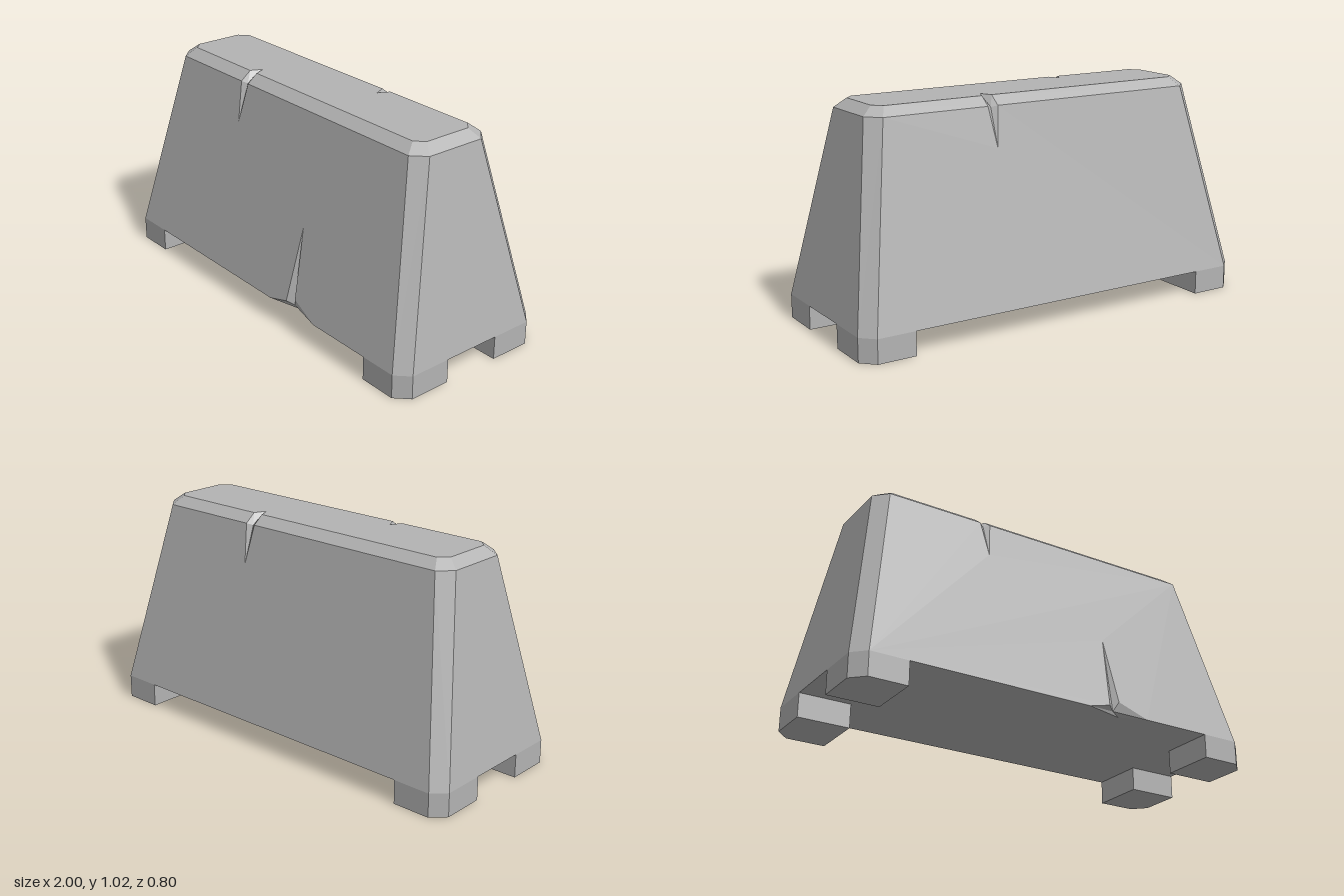
import * as THREE from 'three';

const concrete = new THREE.MeshStandardMaterial({ color: 0xb3b3b3 });
concrete.name = 'concrete grey';

const BASE = 0.11, SHOULDER = 0.98, TOP = 1.02;
// Depth of the sloping long side at height y
const sideZ = (y) => 0.4 - (y - BASE) * 0.195 / (SHOULDER - BASE);

// Flat polygons, triangulated and wound to face the given outward direction
class Faces {
  constructor() { this.pos = []; }
  add(out, ...pts) {
    const o = new THREE.Vector3(...out);
    const v = pts.map((p) => new THREE.Vector3(...p));
    const n = new THREE.Vector3();
    v.forEach((a, i) => n.add(a.clone().cross(v[(i + 1) % v.length])));
    const m = n.toArray().map(Math.abs);
    const drop = m.indexOf(Math.max(...m));
    const flat = pts.map((p) => new THREE.Vector2(...p.filter((_, i) => i !== drop)));
    for (const [a, b, c] of THREE.ShapeUtils.triangulateShape(flat, [])) {
      const t = v[b].clone().sub(v[a]).cross(v[c].clone().sub(v[a]));
      const order = t.dot(o) < 0 ? [a, c, b] : [a, b, c];
      order.forEach((i) => this.pos.push(...pts[i]));
    }
  }
  mesh(name) {
    const g = new THREE.BufferGeometry();
    g.setAttribute('position', new THREE.Float32BufferAttribute(this.pos, 3));
    g.computeVertexNormals();
    const mesh = new THREE.Mesh(g, concrete);
    mesh.name = name;
    return mesh;
  }
}

export function createModel() {
  const group = new THREE.Group();
  group.name = 'barrier';
  const body = new Faces(), dents = new Faces(), crack = new Faces();

  // Crack at the foot of the front side
  const c0 = [0.12, BASE, 0.4], c1 = [0.23, 0.14, sideZ(0.14)], c2 = [0.258, 0.49, sideZ(0.49)];
  const c3 = [0.285, 0.168, sideZ(0.168)], c4 = [0.43, BASE, 0.4];
  const inner = [0.262, 0.125, 0.37], under = [0.3, BASE, 0.355];
  crack.add([0, -1, 1], c0, c1, inner);
  crack.add([0, -1, 1], c0, inner, under);
  crack.add([1, 0, 1], c1, c2, inner);
  crack.add([-1, 0, 1], c2, c3, inner);
  crack.add([0, 0, 1], c3, c4, inner);
  crack.add([0, 0, 1], inner, c4, under);

  // Long sides, each with a dent through its upper edge
  for (const s of [1, -1]) {
    const d = s > 0 ? -0.305 : 0.26, w = 0.025;
    const P = (x, y, z) => [x, y, z * s];
    const tip = P(d, 0.8, sideZ(0.8)), deep = P(d, 0.972, 0.187), notch = P(d, TOP, 0.1);
    const low = (x) => P(x, SHOULDER, 0.205), high = (x) => P(x, TOP, 0.155);
    const bottom = s > 0 ? [c0, c1, c2, c3, c4] : [];
    body.add([0, 0, s], P(-0.94, BASE, 0.4), ...bottom, P(0.94, BASE, 0.4),
      low(0.79), low(d + w), tip, low(d - w), low(-0.79));
    for (const k of [1, -1]) {
      body.add([0, 1, s], low(0.79 * k), low(d + w * k), high(d + w * k), high(0.76 * k));
      dents.add([-k, 0, s], tip, low(d + w * k), deep);
      dents.add([-k, 0.5, s], low(d + w * k), high(d + w * k), deep);
      dents.add([-k, 0.5, s], high(d + w * k), notch, deep);
    }
  }

  // Short ends and chamfered corners
  for (const k of [1, -1]) {
    body.add([k, 0, 0], [k, BASE, 0.34], [k, BASE, -0.34],
      [0.85 * k, SHOULDER, -0.145], [0.85 * k, SHOULDER, 0.145]);
    body.add([k, 1, 0], [0.85 * k, SHOULDER, 0.145], [0.85 * k, SHOULDER, -0.145],
      [0.8 * k, TOP, -0.115], [0.8 * k, TOP, 0.115]);
    for (const s of [1, -1]) {
      body.add([k, 0, s], [k, BASE, 0.34 * s], [0.94 * k, BASE, 0.4 * s],
        [0.79 * k, SHOULDER, 0.205 * s], [0.85 * k, SHOULDER, 0.145 * s]);
      body.add([k, 1, s], [0.85 * k, SHOULDER, 0.145 * s], [0.79 * k, SHOULDER, 0.205 * s],
        [0.76 * k, TOP, 0.155 * s], [0.8 * k, TOP, 0.115 * s]);
    }
  }

  // Top with its two notches, and the underside
  body.add([0, 1, 0], [-0.8, TOP, 0.115], [-0.76, TOP, 0.155], [-0.33, TOP, 0.155],
    [-0.305, TOP, 0.1], [-0.28, TOP, 0.155], [0.76, TOP, 0.155], [0.8, TOP, 0.115],
    [0.8, TOP, -0.115], [0.76, TOP, -0.155], [0.285, TOP, -0.155], [0.26, TOP, -0.1],
    [0.235, TOP, -0.155], [-0.76, TOP, -0.155], [-0.8, TOP, -0.115]);
  body.add([0, -1, 0], [-1, BASE, 0.34], [-0.94, BASE, 0.4], c0, under, c4,
    [0.94, BASE, 0.4], [1, BASE, 0.34], [1, BASE, -0.34], [0.94, BASE, -0.4],
    [-0.94, BASE, -0.4], [-1, BASE, -0.34]);
  group.add(body.mesh('body'), dents.mesh('edgeDents'), crack.mesh('crack'));

  // Four feet with a chamfered outer corner
  for (const k of [1, -1]) for (const s of [1, -1]) {
    const outline = [[0.76, 0.14], [1, 0.14], [1, 0.34], [0.94, 0.4], [0.76, 0.4]];
    const shape = new THREE.Shape(outline.map(([x, z]) => new THREE.Vector2(x * k, -z * s)));
    const geo = new THREE.ExtrudeGeometry(shape, { depth: BASE, bevelEnabled: false });
    geo.rotateX(-Math.PI / 2);
    const foot = new THREE.Mesh(geo, concrete);
    foot.name = (s > 0 ? 'front' : 'back') + (k > 0 ? 'Left' : 'Right') + 'Foot';
    group.add(foot);
  }
  return group;
}
